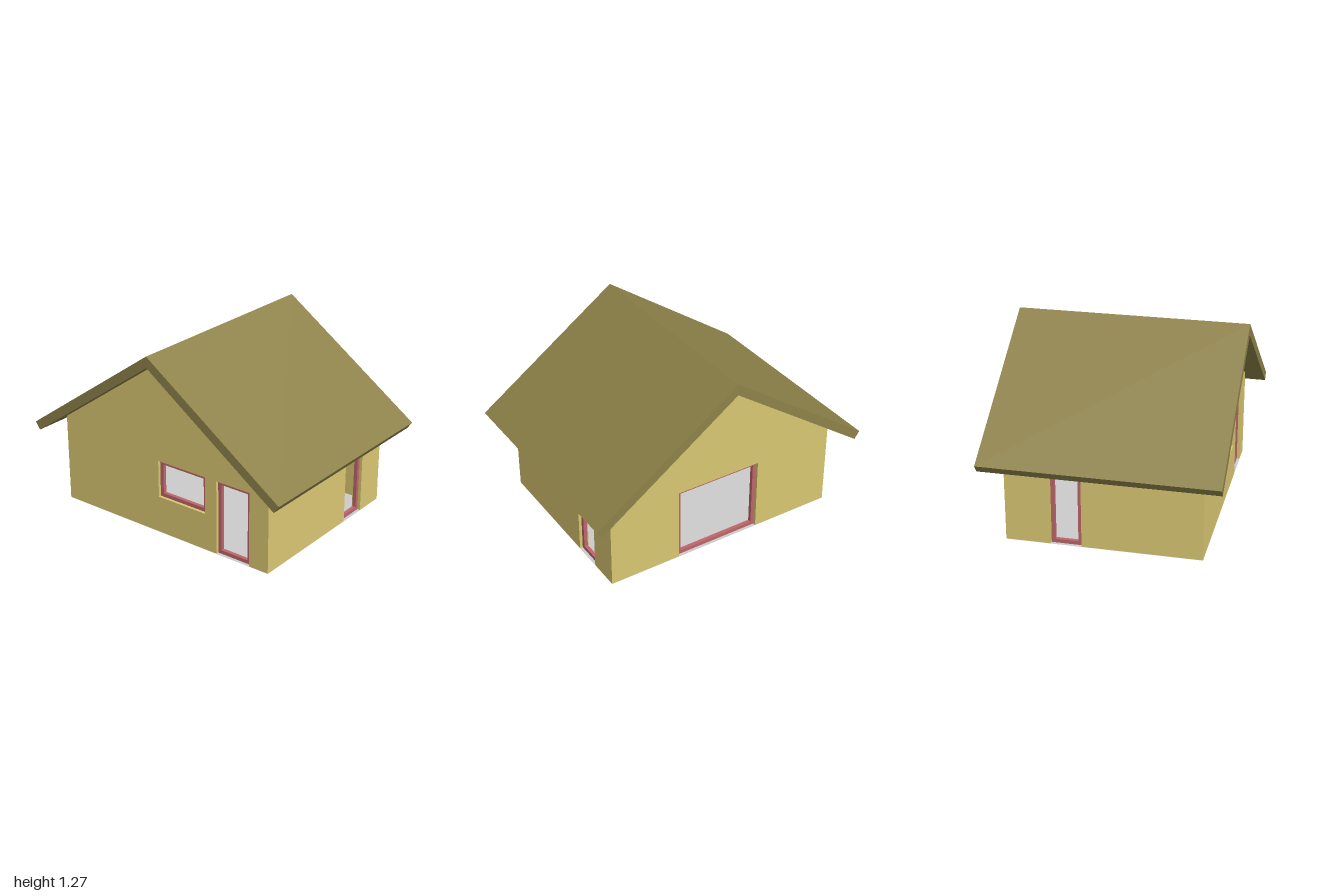
import * as THREE from 'three';

const T = 0.065;          // wall thickness
const HX = 0.835, HZ = 0.635; // half footprint
const EAVE = 0.61, RIDGE = 1.195;
const BAR = 0.025;        // frame bar width

const mat = (color) => new THREE.MeshStandardMaterial({ color });
const wallMat = mat(0xd9c772), roofMat = mat(0x8d8149), frameMat = mat(0xbd666a);
const floorMat = new THREE.MeshStandardMaterial({ color: 0xcccccc, side: THREE.DoubleSide });

const toShape = (pts) => new THREE.Shape(pts.map(([x, y]) => new THREE.Vector2(x, y)));
const rect = ([x0, x1, y0, y1]) => [[x0, y0], [x1, y0], [x1, y1], [x0, y1]];

function extrude(shape, depth, z, material, name) {
  const geo = new THREE.ExtrudeGeometry(shape, { depth, bevelEnabled: false });
  geo.translate(0, 0, z);
  const mesh = new THREE.Mesh(geo, material);
  mesh.name = name;
  return mesh;
}

// One wall facing local +z, with door notches, window holes and recessed frames
function wall({ name, half, dist, angle, gable, openings }) {
  const group = new THREE.Group();
  group.name = name;

  const pts = [[-half, 0]];
  for (const { box: [x0, x1, y0, y1] } of openings) {
    if (y0 === 0) pts.push([x0, 0], [x0, y1], [x1, y1], [x1, 0]);
  }
  pts.push([half, 0], [half, EAVE]);
  if (gable) pts.push([0, RIDGE]);
  pts.push([-half, EAVE]);

  const shape = toShape(pts);
  for (const { box } of openings) {
    if (box[2] > 0) shape.holes.push(toShape(rect(box)));
  }
  group.add(extrude(shape, T, dist - T, wallMat, name + 'Panel'));

  for (const { label, box } of openings) {
    const [x0, x1, y0, y1] = box;
    const frame = toShape(rect(box));
    frame.holes.push(toShape(rect([x0 + BAR, x1 - BAR, y0 + BAR, y1 - BAR])));
    group.add(extrude(frame, 0.025, dist - 0.045, frameMat, label));
  }
  group.rotation.y = angle;
  group.position.y = 0.002;
  return group;
}

export function createModel() {
  const house = new THREE.Group();
  house.name = 'house';

  // Gable walls at front and back, side walls between them
  const walls = [
    { name: 'frontWall', half: HX, dist: HZ, angle: 0, gable: true, openings: [
      { label: 'windowFrame', box: [-0.035, 0.345, 0.255, 0.51] },
      { label: 'frontDoorFrame', box: [0.435, 0.69, 0, 0.51] }] },
    { name: 'backWall', half: HX, dist: HZ, angle: Math.PI, gable: true, openings: [
      { label: 'backDoorFrame', box: [-0.336, 0.27, 0, 0.51] }] },
    { name: 'leftWall', half: HZ - T, dist: HX, angle: Math.PI / 2, openings: [
      { label: 'leftDoorFrame', box: [0.22, 0.42, 0, 0.51] }] },
    { name: 'rightWall', half: HZ - T, dist: HX, angle: -Math.PI / 2, openings: [
      { label: 'rightDoorFrame', box: [-0.34, -0.14, 0, 0.51] }] },
  ];
  for (const w of walls) house.add(wall(w));

  // Floor
  const floor = new THREE.Mesh(new THREE.PlaneGeometry(2 * HX, 2 * HZ), floorMat);
  floor.name = 'floor';
  floor.rotation.x = -Math.PI / 2;
  house.add(floor);

  // Pitched roof slab with overhanging eaves
  const roof = toShape([[0, 1.27], [-1, 0.57], [-0.964, 0.52], [0, RIDGE], [0.964, 0.52], [1, 0.57]]);
  house.add(extrude(roof, 1.53, -0.765, roofMat, 'roof'));

  return house;
}
